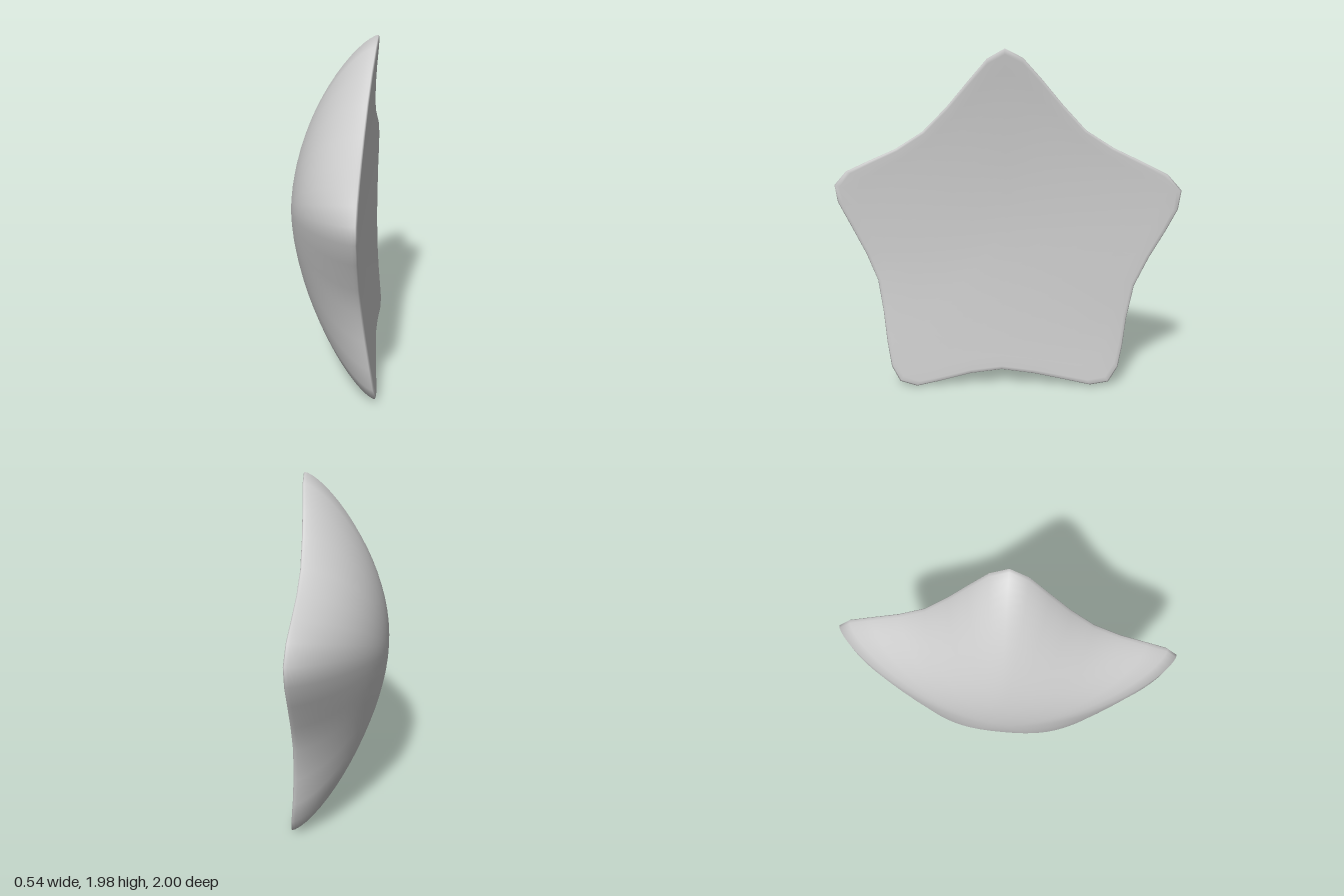
import * as THREE from 'three';
import { mergeVertices } from 'three/addons/utils/BufferGeometryUtils.js';

// Star outline as [z, y] pairs, from the top tip towards +z and around
const OUTLINE = [
  [0.01, 1.98], [0.11, 1.925], [0.22, 1.8], [0.34, 1.66], [0.48, 1.52], [0.64, 1.42], [0.8, 1.35], [0.93, 1.29],
  [1, 1.21], [0.985, 1.11], [0.92, 0.98], [0.83, 0.8], [0.765, 0.64], [0.735, 0.45], [0.715, 0.27], [0.69, 0.12],
  [0.64, 0.03], [0.54, 0], [0.4, 0.03], [0.22, 0.075], [0.03, 0.1], [-0.17, 0.075], [-0.35, 0.04], [-0.5, 0.01],
  [-0.61, 0.03], [-0.665, 0.12], [-0.69, 0.25], [-0.71, 0.42], [-0.75, 0.62], [-0.83, 0.79], [-0.92, 0.95],
  [-0.985, 1.08], [-1, 1.19], [-0.92, 1.28], [-0.78, 1.35], [-0.61, 1.43], [-0.45, 1.53], [-0.31, 1.68],
  [-0.2, 1.81], [-0.09, 1.93],
];
const CENTRE_Y = 0.95, ROUND_RADIUS = 0.86, DOME_DEPTH = 0.438, EDGE = 0.01;

// Dished flat side: its tips curl towards +x, and the upper part leans with z
function faceX(y, z) {
  const upper = y > 1.15;
  const k = (y - 1.15) / (upper ? 0.85 : 1.15);
  const lean = 0.026 * z * THREE.MathUtils.smoothstep(y, 0.1, 0.8);
  return 0.175 + (upper ? 0.065 : 0.09) * k * k + 0.022 * z * z - lean;
}

function starGeometry() {
  const n = OUTLINE.length;

  // Rings: dome apex -> rim -> rounded edge -> centre of the flat side
  const rings = [];
  const domeSteps = 18;
  for (let i = 0; i <= domeSteps; i++) {
    const s = Math.sin((i / domeSteps) * Math.PI / 2);
    rings.push({ s, lift: -EDGE - DOME_DEPTH * Math.pow(Math.max(0, 1 - s * s), 0.67) });
  }
  rings.push({ s: 0.993, lift: -0.003 });
  for (const s of [0.975, 0.9, 0.75, 0.5, 0.25, 0]) rings.push({ s, lift: 0 });

  // Inner rings become rounder, so the arms blend into the dome
  const positions = [], index = [];
  for (const { s, lift } of rings) {
    for (const [pz, py] of OUTLINE) {
      const dy = py - CENTRE_Y, R = Math.hypot(dy, pz);
      const r = s * (ROUND_RADIUS + (R - ROUND_RADIUS) * Math.pow(s, 1.5)) / R;
      const y = CENTRE_Y + dy * r, z = pz * r;
      positions.push(faceX(y, z) + lift, y, z);
    }
  }

  // Quads between rings, with single triangles around the two centres
  for (let i = 0; i < rings.length - 1; i++) {
    for (let j = 0; j < n; j++) {
      const a = i * n + j, b = i * n + (j + 1) % n, c = b + n, d = a + n;
      if (i > 0) index.push(a, b, c);
      if (i < rings.length - 2) index.push(a, c, d);
    }
  }
  const geometry = new THREE.BufferGeometry();
  geometry.setAttribute('position', new THREE.Float32BufferAttribute(positions, 3));
  geometry.setIndex(index);
  const welded = mergeVertices(geometry, 1e-5);
  welded.computeVertexNormals();
  return welded;
}

export function createModel() {
  const group = new THREE.Group();
  group.name = 'star';
  const star = new THREE.Mesh(starGeometry(), new THREE.MeshStandardMaterial({ color: 0xcccccc }));
  star.name = 'domedStarBody';
  group.add(star);
  return group;
}
